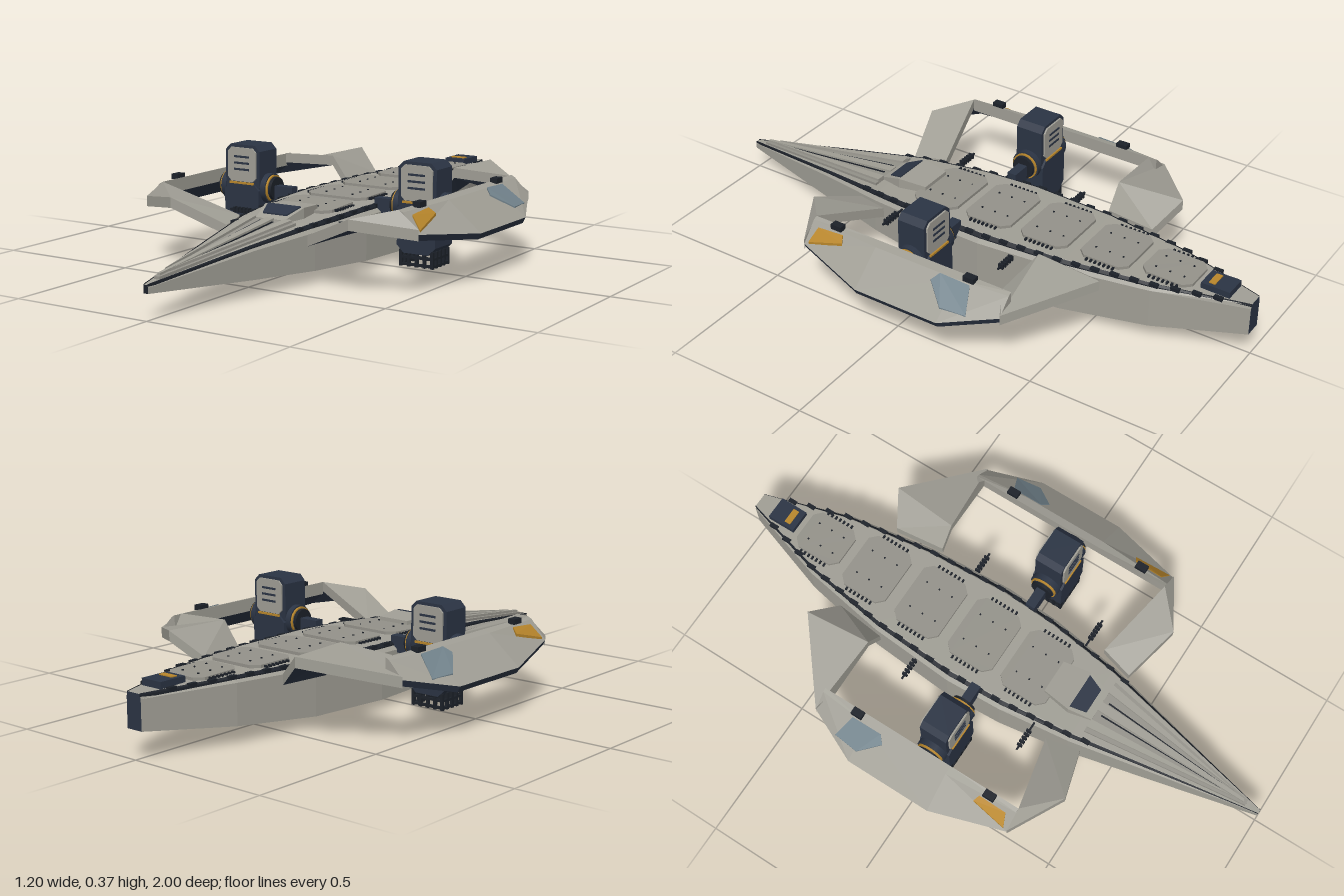
import * as THREE from 'three';

const paint = (name, color) => Object.assign(new THREE.MeshStandardMaterial({ color }), { name });

export function createModel() {
  const hullGrey = paint('hull grey', 0xa09e95), panelGrey = paint('panel grey', 0x94928a);
  const navy = paint('navy', 0x2b3444), dark = paint('dark trim', 0x1c2129);
  const gold = paint('gold', 0xb8862b), glass = paint('blue grey glass', 0x72838c);
  const model = new THREE.Group();
  model.name = 'spacecraft';

  const add = (parent, name, geometry, material, x = 0, y = 0, z = 0) => {
    const mesh = new THREE.Mesh(geometry, material);
    mesh.name = name;
    mesh.position.set(x, y, z);
    parent.add(mesh);
    return mesh;
  };
  const box = (parent, name, mat, w, h, d, x, y, z) =>
    add(parent, name, new THREE.BoxGeometry(w, h, d), mat, x, y, z);

  // Flat-faced skin through matching rings; one material per side, then first and last cap
  const loft = (parent, name, rings, sides, cap0, cap1) => {
    const bins = new Map();
    const tri = (m, ...p) => bins.set(m, (bins.get(m) || []).concat(...p));
    const n = rings[0].length;
    for (let i = 0; i + 1 < rings.length; i++) {
      for (let j = 0; j < n; j++) {
        const a = rings[i], b = rings[i + 1], k = (j + 1) % n;
        const m = Array.isArray(sides) ? sides[j] : sides;
        tri(m, a[j], b[j], b[k]);
        tri(m, a[j], b[k], a[k]);
      }
    }
    const last = rings[rings.length - 1];
    for (let j = 1; j + 1 < n; j++) {
      tri(cap0, rings[0][0], rings[0][j], rings[0][j + 1]);
      tri(cap1, last[0], last[j + 1], last[j]);
    }
    const geometry = new THREE.BufferGeometry(), all = [];
    [...bins.values()].forEach((v, g) => {
      geometry.addGroup(all.length / 3, v.length / 3, g);
      for (const c of v) all.push(c);
    });
    geometry.setAttribute('position', new THREE.Float32BufferAttribute(all, 3));
    geometry.computeVertexNormals();
    return add(parent, name, geometry, [...bins.keys()]);
  };
  // Convex plate below a ring of top points
  const slab = (parent, name, points, thick, top, side = top, under = side) => {
    const area = points.reduce((s, p, i) => {
      const q = points[(i + 1) % points.length];
      return s + p[2] * q[0] - p[0] * q[2];
    }, 0);
    const ring = area < 0 ? [...points].reverse() : points;
    return loft(parent, name, [ring, ring.map(([x, y, z]) => [x, y - thick, z])], side, top, under);
  };
  // Linear lookup in rows sorted by falling z in column 0
  const sample = (rows, z) => {
    let i = 0;
    while (i < rows.length - 2 && z < rows[i + 1][0]) i++;
    const a = rows[i], b = rows[i + 1];
    const t = THREE.MathUtils.clamp((z - a[0]) / (b[0] - a[0]), 0, 1);
    return a.map((v, k) => v + (b[k] - v) * t);
  };

  // Hull: z, half width, keel, deck edge, deck
  const stations = [
    [1, 0.008, 0.082, 0.1, 0.108], [0.6, 0.095, 0.055, 0.145, 0.16],
    [0.35, 0.15, 0.042, 0.165, 0.19], [0.1, 0.185, 0.032, 0.18, 0.205],
    [-0.1, 0.195, 0.03, 0.185, 0.21], [-0.4, 0.175, 0.035, 0.19, 0.213],
    [-0.7, 0.125, 0.06, 0.195, 0.213], [-1, 0.03, 0.092, 0.19, 0.205],
  ];
  const deck = (z) => sample(stations, z)[4];
  loft(model, 'hull', stations.map(([z, w, b, e, t]) => [
    [-w, b, z], [w, b, z], [w, e, z], [0.85 * w, t, z], [-0.85 * w, t, z], [-w, e, z],
  ]), [navy, hullGrey, hullGrey, hullGrey, hullGrey, hullGrey], dark, navy);

  // Raised deck panels with vents and rivets
  const deckPlate = (name, outline, lift, mat, thick = 0.02) =>
    slab(model, name, outline.map(([x, z]) => [x, deck(z) + lift, z]), thick, mat);
  const panels = [[-0.72, 0.075], [-0.51, 0.105], [-0.29, 0.115], [-0.075, 0.115], [0.135, 0.115]];
  for (const [z, w] of panels) {
    const c = 0.025, l = 0.088;
    deckPlate('deckPanel', [[-w + c, z - l], [w - c, z - l], [w, z - l + c], [w, z + l - c],
      [w - c, z + l], [-w + c, z + l], [-w, z + l - c], [-w, z - l + c]], 0.01, panelGrey);
    for (const s of [-1, 1]) {
      for (let i = -3; i <= 3; i++) {
        box(model, 'deckVent', dark, 0.012, 0.008, 0.006, s * (w + 0.008), deck(z) + 0.003, z + i * 0.016);
      }
      for (const dz of [-0.05, 0, 0.05]) {
        box(model, 'rivet', dark, 0.005, 0.004, 0.005, s * w * 0.45, deck(z) + 0.011, z + dz);
      }
    }
  }

  // Dark seam and fittings along each deck edge
  for (const s of [-1, 1]) {
    for (let i = 0; i + 1 < stations.length; i++) {
      const edge = ([z, w, , e, t], f) =>
        [s * f * w, t + (e - t) * (f - 0.85) / 0.15 + 0.004, z];
      const a = stations[i], b = stations[i + 1];
      slab(model, 'edgeSeam', [edge(a, 0.87), edge(a, 0.93), edge(b, 0.93), edge(b, 0.87)], 0.009, dark);
    }
    for (let z = -0.9; z < 0.4; z += 0.065) {
      const [, w, , e, t] = sample(stations, z);
      box(model, 'edgeFitting', dark, 0.014, 0.012, 0.03, s * w * 0.89, (e + t) / 2 + 0.007, z);
    }
  }

  // Bow deck with long ribs
  deckPlate('bowPanel', [[-0.1, 0.38], [0.1, 0.38], [0.01, 0.95], [-0.01, 0.95]], 0.009, panelGrey);
  deckPlate('bowSpine', [[-0.016, 0.38], [0.016, 0.38], [0.005, 0.94], [-0.005, 0.94]], 0.016, hullGrey);
  for (const s of [-1, 1]) {
    deckPlate('bowRib', [[s * 0.055, 0.38], [s * 0.085, 0.38], [s * 0.009, 0.9]], 0.017, hullGrey);
    deckPlate('bowGroove', [[s * 0.022, 0.4], [s * 0.027, 0.4], [s * 0.008, 0.85]], 0.012, dark);
  }

  // Cockpit
  const canopy = (w0, w1, z0, z1, y0, y1) =>
    [[-w0, y0, z0], [w0, y0, z0], [w1, y1, z1], [-w1, y1, z1]];
  slab(model, 'cockpitRoof', canopy(0.06, 0.075, 0.2, 0.3, 0.222, 0.228), 0.04, hullGrey);
  slab(model, 'cockpitFront', canopy(0.075, 0.055, 0.3, 0.38, 0.228, 0.198), 0.04, hullGrey);
  slab(model, 'cockpitWindow', canopy(0.064, 0.046, 0.3, 0.355, 0.232, 0.212), 0.008, navy);

  // Stern housing
  box(model, 'sternHousing', navy, 0.08, 0.03, 0.1, 0, 0.214, -0.88);
  box(model, 'sternStripe', gold, 0.055, 0.004, 0.022, 0, 0.23, -0.862);

  // Belly hatch
  add(model, 'bellyCollar', new THREE.CylinderGeometry(0.08, 0.085, 0.035, 32), navy, 0, 0.0225, -0.09);
  add(model, 'bellyRim', new THREE.CylinderGeometry(0.086, 0.08, 0.008, 32), panelGrey, 0, 0.01, -0.09);
  add(model, 'bellyRing', new THREE.CylinderGeometry(0.075, 0.075, 0.006, 32), dark, 0, 0.005, -0.09);
  add(model, 'bellyDisc', new THREE.CylinderGeometry(0.055, 0.055, 0.006, 32), hullGrey, 0, 0.003, -0.09);

  // One side: wing, struts, engine and antennas
  const side = new THREE.Group();
  side.name = 'leftSide';

  const wingRows = [[0.35, 0.525, 0.2], [0.09, 0.6, 0.168], [-0.22, 0.6, 0.168], [-0.4, 0.52, 0.21]];
  const inner = 0.455, ridge = (xo) => inner + 0.2 * (xo - inner);
  loft(side, 'wing', wingRows.map(([z, xo, yo]) => [
    [inner, 0.225, z], [xo - 0.01, yo - 0.02, z], [xo, yo, z], [ridge(xo), 0.263, z], [inner, 0.27, z],
  ]), [navy, navy, hullGrey, hullGrey, hullGrey], hullGrey, hullGrey);
  const wingPlate = (name, mat, outline) => slab(side, name, outline.map(([x, z]) => {
    const [, xo, yo] = sample(wingRows, z), xm = ridge(xo);
    return [x, 0.263 + (yo - 0.263) * (x - xm) / (xo - xm) + 0.005, z];
  }), 0.009, mat);
  wingPlate('wingWindow', glass, [[0.487, -0.27], [0.555, -0.3], [0.565, -0.21], [0.51, -0.14], [0.487, -0.16]]);
  wingPlate('wingMarking', gold, [[0.485, 0.22], [0.505, 0.21], [0.522, 0.335], [0.485, 0.32]]);
  for (const z of [-0.26, 0.25]) box(side, 'wingLamp', dark, 0.026, 0.018, 0.04, 0.47, 0.274, z);

  const strut = (name, points) => slab(side, name, points, 0.035, hullGrey, hullGrey, navy);
  strut('frontStrut', [[0.155, 0.165, 0.4], [0.185, 0.175, 0.285], [0.455, 0.27, 0.35], [0.34, 0.245, 0.455]]);
  strut('frontStrutTip', [[0.455, 0.27, 0.35], [0.525, 0.215, 0.35], [0.34, 0.245, 0.455]]);
  strut('backStrutRoot', [[0.17, 0.2, -0.545], [0.19, 0.2, -0.37], [0.25, 0.28, -0.37], [0.27, 0.28, -0.6]]);
  strut('backStrut', [[0.25, 0.28, -0.37], [0.455, 0.272, -0.37], [0.52, 0.22, -0.4], [0.27, 0.28, -0.6]]);

  // Engine
  const engine = new THREE.Group();
  engine.name = 'engine';
  engine.position.x = 0.346;
  side.add(engine);
  const chamfered = (name, mat, w, y0, y1, c, d, z = 0) => {
    const h = w / 2;
    const shape = new THREE.Shape([[-h + c, y0], [h - c, y0], [h, y0 + c], [h, y1 - c], [h - c, y1],
      [-h + c, y1], [-h, y1 - c], [-h, y0 + c]].map(([x, y]) => new THREE.Vector2(x, y)));
    const g = new THREE.ExtrudeGeometry(shape, { depth: d, bevelEnabled: false }).translate(0, 0, -d / 2);
    return add(engine, name, g, mat, 0, 0, z);
  };
  chamfered('engineHead', navy, 0.142, 0.2, 0.365, 0.02, 0.1);
  chamfered('engineBody', navy, 0.142, 0.065, 0.235, 0.025, 0.115);
  for (const s of [-1, 1]) {
    chamfered('engineFace', hullGrey, 0.116, 0.238, 0.355, 0.014, 0.008, s * 0.052);
    box(engine, 'engineSeam', gold, 0.1, 0.007, 0.006, 0, 0.233, s * 0.057);
    for (const y of [0.28, 0.302, 0.324]) box(engine, 'engineSlot', navy, 0.062, 0.007, 0.004, 0, y, s * 0.0565);
    // Exhaust cage
    for (let i = -2; i <= 2; i++) {
      box(engine, 'exhaustBar', dark, 0.01, 0.055, 0.01, i * 0.029, 0.048, s * 0.05);
      box(engine, 'exhaustBar', dark, 0.01, 0.055, 0.01, s * 0.058, 0.048, i * 0.025);
    }
    for (const y of [0.028, 0.052]) {
      box(engine, 'exhaustRail', dark, 0.126, 0.008, 0.01, 0, y, s * 0.05);
      box(engine, 'exhaustRail', dark, 0.01, 0.008, 0.1, s * 0.058, y, 0);
    }
  }
  // Pivot along x
  const disc = (name, mat, r, x, l, y = 0.215) =>
    add(engine, name, new THREE.CylinderGeometry(r, r, l, 20), mat, x, y, 0).rotation.z = Math.PI / 2;
  disc('pivotDrum', navy, 0.042, 0, 0.2);
  for (const s of [-1, 1]) {
    disc('pivotDisc', navy, 0.052, s * 0.082, 0.02);
    disc('pivotRing', gold, 0.047, s * 0.095, 0.008);
    disc('pivotCap', dark, 0.04, s * 0.104, 0.012);
  }
  box(side, 'engineArm', navy, 0.09, 0.055, 0.034, 0.21, 0.2, 0);

  // Antennas
  for (const z of [-0.23, 0.225]) {
    box(side, 'antenna', dark, 0.11, 0.006, 0.006, 0.215, 0.178, z);
    for (let i = 0; i < 5; i++) box(side, 'antennaBead', dark, 0.007, 0.018, 0.018, 0.195 + i * 0.014, 0.178, z);
  }

  const mirrored = side.clone();
  mirrored.name = 'rightSide';
  mirrored.scale.x = -1;
  model.add(side, mirrored);
  return model;
}
